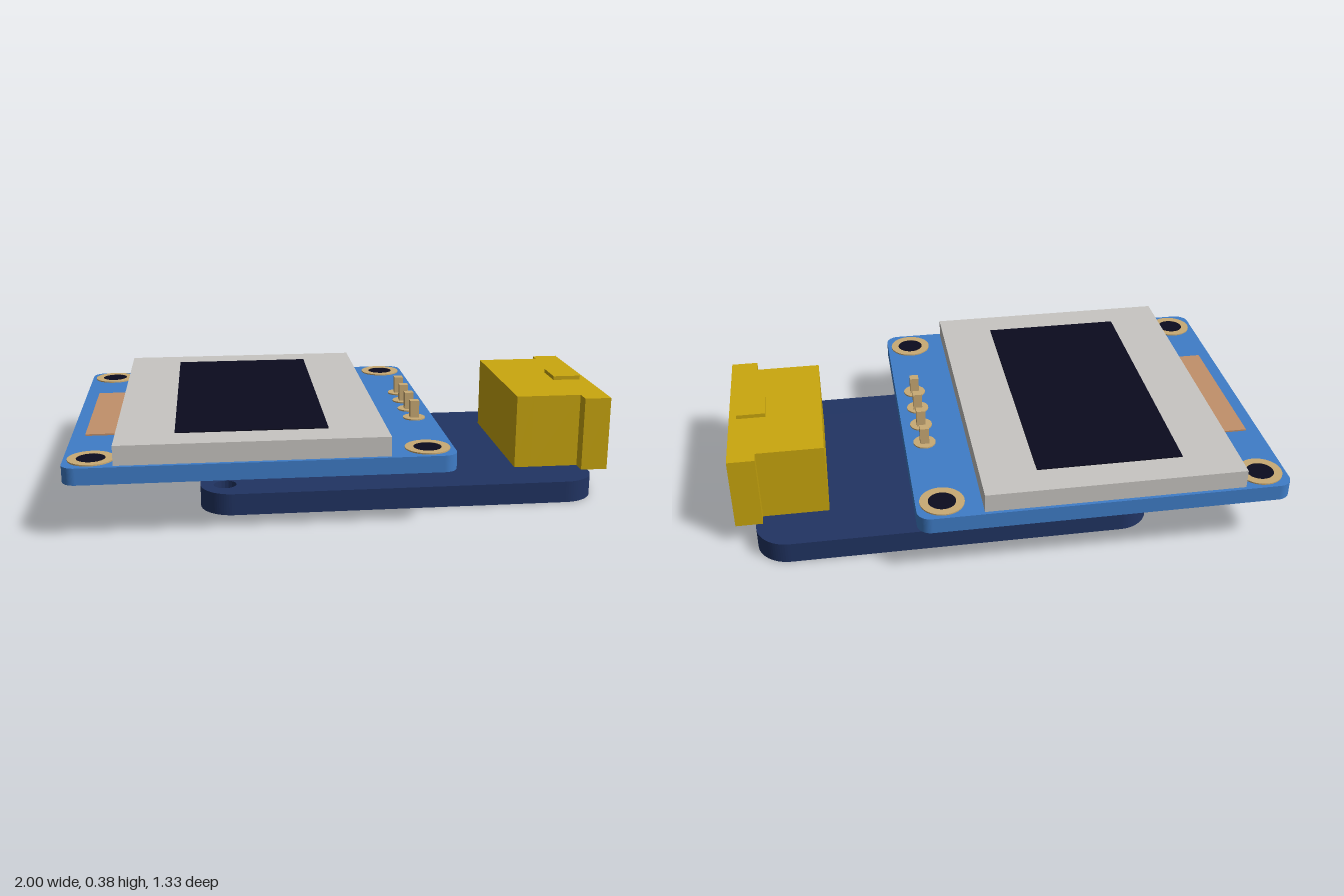
import * as THREE from 'three';

const mat = (name, color, extra = {}) => new THREE.MeshStandardMaterial({ name, color, ...extra });

export function createModel() {
  const navy = mat('navy board', 0x213463);
  const blue = mat('blue board', 0x3f7dc8);
  const yellow = mat('yellow plastic', 0xcaa70e);
  const grey = mat('glass grey', 0xc8c6c2);
  const dark = mat('near black', 0x0b0b1e);
  const gold = mat('pale gold', 0xc9aa74);
  const copper = mat('copper ribbon', 0xc1906a);

  const model = new THREE.Group();
  const add = (name, geometry, material, parent = model) => {
    const mesh = new THREE.Mesh(geometry, material);
    mesh.name = name;
    parent.add(mesh);
    return mesh;
  };
  // Box given by its limits on each axis
  const box = (name, material, [x0, x1], [y0, y1], [z0, z1], parent) => {
    const g = new THREE.BoxGeometry(x1 - x0, y1 - y0, z1 - z0);
    g.translate((x0 + x1) / 2, (y0 + y1) / 2, (z0 + z1) / 2);
    return add(name, g, material, parent);
  };
  const circle = (x, y, r) => new THREE.Path().absarc(x, y, r, 0, Math.PI * 2, true);

  // Rounded board lying flat, with optional round holes [x, z, radius]
  const board = (name, material, [x0, x1], [y0, y1], [z0, z1], r, holes = []) => {
    const s = new THREE.Shape();
    s.absarc(x1 - r, -z0 - r, r, 0, Math.PI / 2);
    s.absarc(x0 + r, -z0 - r, r, Math.PI / 2, Math.PI);
    s.absarc(x0 + r, -z1 + r, r, Math.PI, Math.PI * 1.5);
    s.absarc(x1 - r, -z1 + r, r, Math.PI * 1.5, Math.PI * 2);
    s.closePath();
    holes.forEach(([x, z, hr]) => s.holes.push(circle(x, -z, hr)));
    const g = new THREE.ExtrudeGeometry(s, { depth: y1 - y0, bevelEnabled: false, curveSegments: 10 });
    g.rotateX(-Math.PI / 2).translate(0, y0, 0);
    return add(name, g, material);
  };

  // Lower and upper circuit boards
  board('lowerBoard', navy, [-0.54, 0.925], [0, 0.08], [-0.5, 0.475], 0.12,
    [[-0.45, -0.395, 0.042], [-0.45, 0.365, 0.042]]);
  board('upperBoard', blue, [-1, 0.355], [0.2, 0.26], [-0.668, 0.665], 0.05);

  // Flat pad with a hole or a rim
  const ring = (name, x, z, inner, outer) => {
    const s = new THREE.Shape().absarc(0, 0, outer, 0, Math.PI * 2);
    s.holes.push(circle(0, 0, inner));
    const g = new THREE.ExtrudeGeometry(s, { depth: 0.005, bevelEnabled: false, curveSegments: 24 });
    g.rotateX(-Math.PI / 2).translate(x, 0.26, z);
    add(name, g, gold);
  };

  // Mounting points at the corners
  for (const x of [-0.905, 0.26]) {
    for (const z of [-0.573, 0.567]) {
      ring('mountRing', x, z, 0.05, 0.08);
      const g = new THREE.CylinderGeometry(0.05, 0.05, 0.004, 32);
      add('mountHole', g.translate(x, 0.262, z), dark);
    }
  }

  // Display panel and its ribbon
  box('displayGlass', grey, [-0.825, 0.12], [0.26, 0.33], [-0.655, 0.65]);
  box('displayWindow', dark, [-0.62, -0.085], [0.33, 0.334], [-0.533, 0.525]);
  box('ribbon', copper, [-0.95, -0.825], [0.26, 0.266], [-0.3, 0.29]);

  // Pin header between the boards
  const pinZ = [-0.19, -0.065, 0.06, 0.185];
  box('headerBlock', dark, [0.22, 0.34], [0.08, 0.2], [-0.252, 0.247]);
  for (const z of pinZ) {
    ring('pinPad', 0.28, z, 0.012, 0.042);
    box('headerPin', gold, [0.263, 0.297], [0.2, 0.33], [z - 0.016, z + 0.016]);
  }

  // Socket: solid back, then two sleeves open towards +x
  const socket = new THREE.Group();
  socket.name = 'socket';
  model.add(socket);
  const sleeve = (name, [x0, x1], [z0, z1]) => {
    const rect = (C, a, b, c, d) => new C([[a, c], [b, c], [b, d], [a, d], [a, c]]
      .map(([u, v]) => new THREE.Vector2(u, v)));
    const s = rect(THREE.Shape, -z1, -z0, 0.08, 0.36);
    s.holes.push(rect(THREE.Path, -0.265, 0.275, 0.12, 0.323));
    const g = new THREE.ExtrudeGeometry(s, { depth: x1 - x0, bevelEnabled: false });
    g.rotateY(Math.PI / 2).translate(x0, 0, 0);
    add(name, g, yellow, socket);
  };
  box('socketBack', yellow, [0.655, 0.72], [0.08, 0.36], [-0.318, 0.29], socket);
  sleeve('socketBody', [0.72, 0.9], [-0.318, 0.29]);
  sleeve('socketFlange', [0.9, 1], [-0.363, 0.347]);
  box('socketTab', yellow, [0.865, 0.972], [0.36, 0.375], [-0.073, 0.055], socket);
  for (const z of pinZ) {
    box('socketPin', gold, [0.72, 0.975], [0.17, 0.2], [z - 0.015, z + 0.015], socket);
  }

  return model;
}
